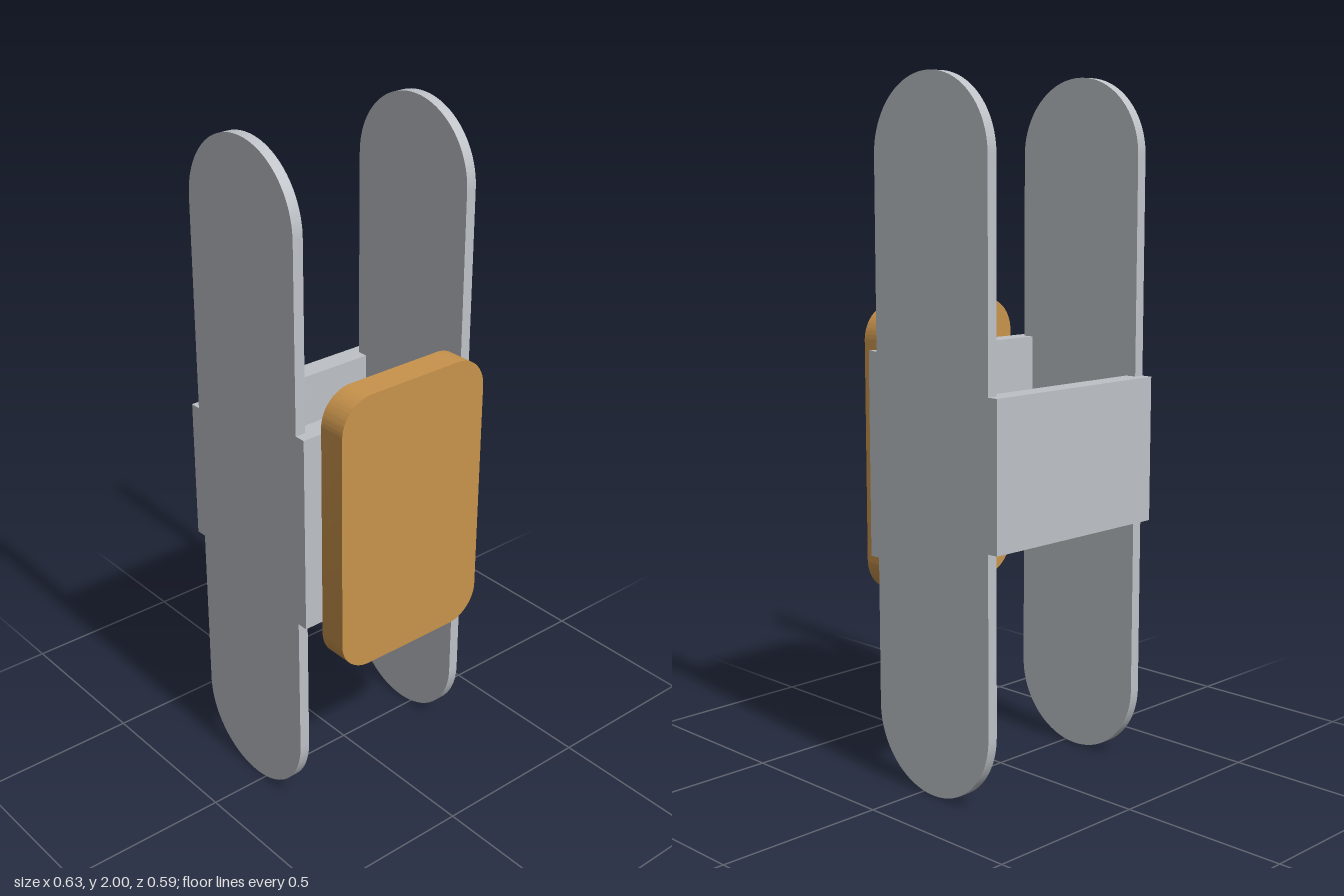
import * as THREE from 'three';
import { toCreasedNormals } from 'three/addons/utils/BufferGeometryUtils.js';

const HALF_WIDTH = 0.313, INNER = 0.281;      // outer and inner faces of the side plates
const PLATE_BACK = -0.264, PLATE_FRONT = 0.177;

// Rectangle with rounded corners, centred on the origin
function roundedRect(w, h, r) {
  const x = w / 2 - r, y = h / 2 - r;
  const s = new THREE.Shape();
  s.absarc(x, y, r, 0, Math.PI / 2);
  s.absarc(-x, y, r, Math.PI / 2, Math.PI);
  s.absarc(-x, -y, r, Math.PI, Math.PI * 1.5);
  s.absarc(x, -y, r, Math.PI * 1.5, Math.PI * 2);
  s.closePath();
  return s;
}

function extrude(shape, depth) {
  const g = new THREE.ExtrudeGeometry(shape, { depth, bevelEnabled: false, curveSegments: 20 });
  return toCreasedNormals(g, 0.6);
}

export function createModel() {
  const metal = new THREE.MeshStandardMaterial({ color: 0xbec2c7 });
  metal.name = 'greyMetal';
  const wood = new THREE.MeshStandardMaterial({ color: 0xc8934c });
  wood.name = 'tanWood';

  const model = new THREE.Group();
  model.name = 'model';
  const add = (name, geometry, material) => {
    const mesh = new THREE.Mesh(geometry, material);
    mesh.name = name;
    model.add(mesh);
  };

  // Tall side plates with fully rounded ends
  const depth = PLATE_FRONT - PLATE_BACK;
  for (const [name, x] of [['leftSidePlate', INNER], ['rightSidePlate', -HALF_WIDTH]]) {
    const g = extrude(roundedRect(depth, 2, depth / 2 - 0.0005), HALF_WIDTH - INNER);
    g.rotateY(Math.PI / 2).translate(x, 1, (PLATE_FRONT + PLATE_BACK) / 2);
    add(name, g, metal);
  }

  // Cross bars, notched at both ends to fit over the plate edges
  const addBar = (name, outer, seat, inner, bottom, top) => {
    const points = [
      [-HALF_WIDTH, outer], [HALF_WIDTH, outer], [HALF_WIDTH, seat], [INNER, seat],
      [INNER, inner], [-INNER, inner], [-INNER, seat], [-HALF_WIDTH, seat],
    ].map(([x, z]) => new THREE.Vector2(x, z));
    const g = extrude(new THREE.Shape(points), top - bottom);
    g.rotateX(Math.PI / 2).translate(0, top, 0);
    add(name, g, metal);
  };
  addBar('frontBar', 0.21, PLATE_FRONT, 0.143, 0.65, 1.24);
  addBar('backBar', -0.297, PLATE_BACK, -0.23, 0.735, 1.155);

  // Rounded panel on the front bar
  const panel = extrude(roundedRect(0.508, 0.845, 0.1), 0.086);
  panel.translate(0, 0.935, 0.21);
  add('frontPanel', panel, wood);

  return model;
}
